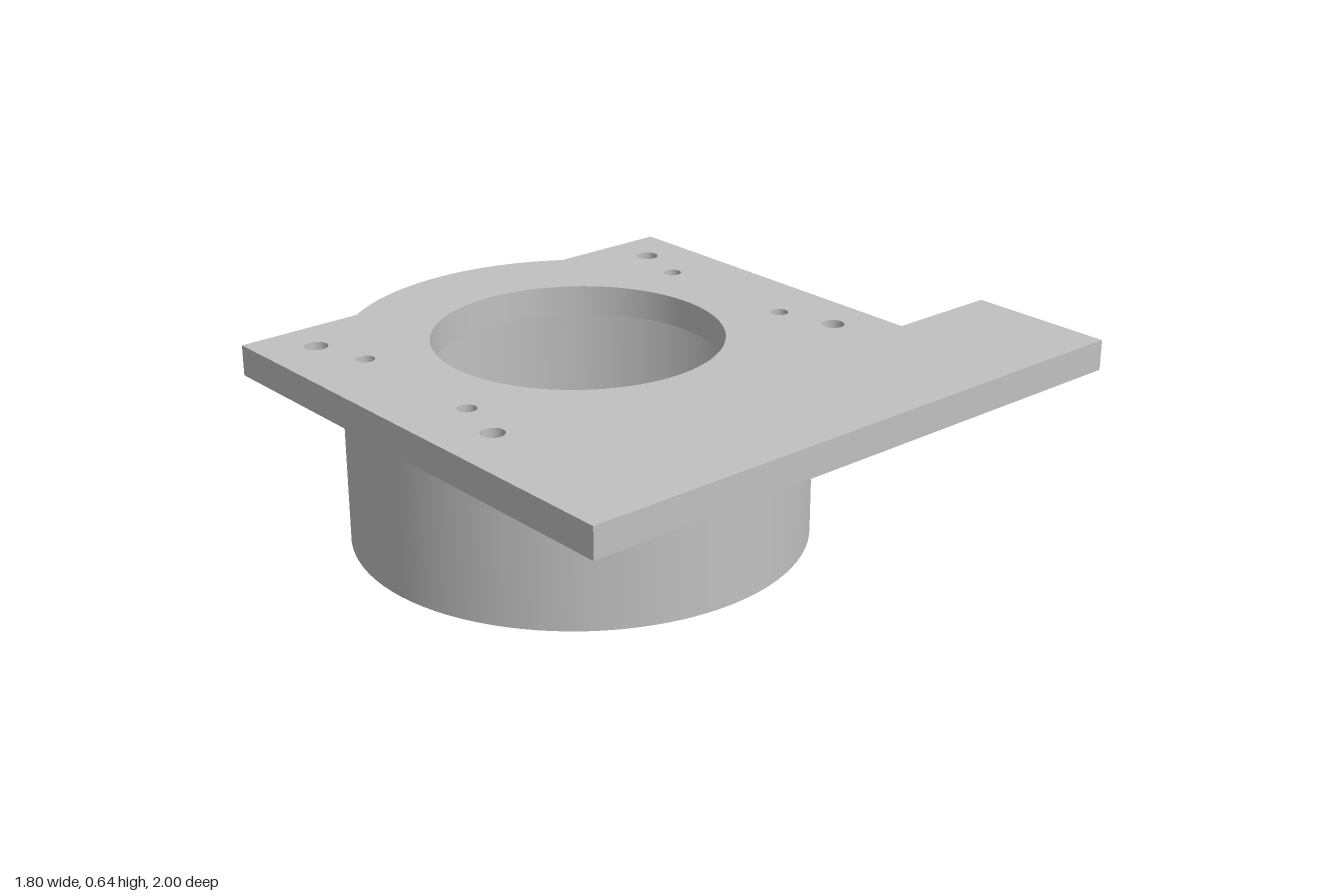
import * as THREE from 'three';

const metal = new THREE.MeshStandardMaterial({ color: 0xc0c0c0 });
metal.name = 'light grey metal';

// Collar axis, radii and heights
const CX = -0.18, CZ = 0.175;
const R_OUT = 0.724, R_BORE = 0.646, R_HOLE = 0.452;
const Y0 = 0.54, Y1 = 0.637, LEFT = -0.775;
const BLIND = 0.07;
const B = Math.acos((CX - LEFT) / R_OUT); // half angle of the bulge past the plate edge

export function createModel() {
  const model = new THREE.Group();
  model.name = 'flangedBracket';

  const add = (name, geometry) => {
    const mesh = new THREE.Mesh(geometry, metal);
    mesh.name = name;
    model.add(mesh);
    return mesh;
  };

  // Surface of revolution between two profile points: upward faces out, downward faces in
  const ring = (name, x, z, r0, y0, r1, y1, seg = 96, start = 0, sweep = Math.PI * 2) => {
    const pts = [new THREE.Vector2(r0, y0), new THREE.Vector2(r1, y1)];
    add(name, new THREE.LatheGeometry(pts, seg, start, sweep)).position.set(x, 0, z);
  };

  // Straight edges of the plate as [x, z]
  const edge = [
    [LEFT, CZ - R_OUT * Math.sin(B)], [LEFT, -0.63], [0.415, -0.63], [0.415, -1],
    [0.9, -1], [0.9, 1], [LEFT, 1], [LEFT, CZ + R_OUT * Math.sin(B)],
  ];

  // Screw holes, mirrored about the collar axis
  const around = (dx, dz, r) => [-1, 1].flatMap(i => [-1, 1].map(j => [CX + i * dx, CZ + j * dz, r]));
  const through = around(0.443, 0.658, 0.036);
  const blind = around(0.255, 0.607, 0.029);

  // Horizontal face of the plate; the sweep picks the bulge or the cut-out around the collar
  const face = (name, y, up, sweep, holes) => {
    const s = up ? -1 : 1;
    const pts = edge.map(([x, z]) => new THREE.Vector2(x, s * z));
    const n = 96;
    for (let i = 1; i < n; i++) {
      const a = Math.PI - B + sweep * i / n;
      pts.push(new THREE.Vector2(CX + R_OUT * Math.cos(a), s * (CZ + R_OUT * Math.sin(a))));
    }
    const shape = new THREE.Shape(pts);
    for (const [x, z, r] of holes) {
      shape.holes.push(new THREE.Path().absarc(x, s * z, r, 0, Math.PI * 2, true));
    }
    const geometry = new THREE.ShapeGeometry(shape, 48);
    geometry.rotateX(s * Math.PI / 2);
    add(name, geometry).position.y = y;
  };
  face('plateTop', Y1, true, 2 * B, [[CX, CZ, R_HOLE], ...through, ...blind]);
  face('plateUnderside', Y0, false, 2 * B - 2 * Math.PI, through);

  // Upright sides of the plate
  for (let i = 0; i < edge.length - 1; i++) {
    const [ax, az] = edge[i], [bx, bz] = edge[i + 1];
    const side = add('plateSide', new THREE.PlaneGeometry(Math.hypot(bx - ax, bz - az), Y1 - Y0));
    side.position.set((ax + bx) / 2, (Y0 + Y1) / 2, (az + bz) / 2);
    side.rotation.y = Math.atan2(bz - az, -(bx - ax));
  }

  // Collar under the plate, with its wide bore and shelf
  ring('collarOuterWall', CX, CZ, R_OUT, 0, R_OUT, Y0);
  ring('collarBulge', CX, CZ, R_OUT, Y0, R_OUT, Y1, 32, -Math.PI / 2 - B, 2 * B);
  ring('collarRim', CX, CZ, R_BORE, 0, R_OUT, 0);
  ring('collarBore', CX, CZ, R_BORE, Y0, R_BORE, 0);
  ring('collarShelf', CX, CZ, R_HOLE, Y0, R_BORE, Y0);
  ring('plateOpening', CX, CZ, R_HOLE, Y1, R_HOLE, Y0);

  // Screw hole walls and the floors of the blind ones
  for (const [x, z, r] of through) ring('throughHole', x, z, r, Y1, r, Y0, 32);
  for (const [x, z, r] of blind) {
    ring('blindHole', x, z, r, Y1, r, Y1 - BLIND, 32);
    ring('blindHoleFloor', x, z, r, Y1 - BLIND, 0, Y1 - BLIND, 32);
  }
  return model;
}
